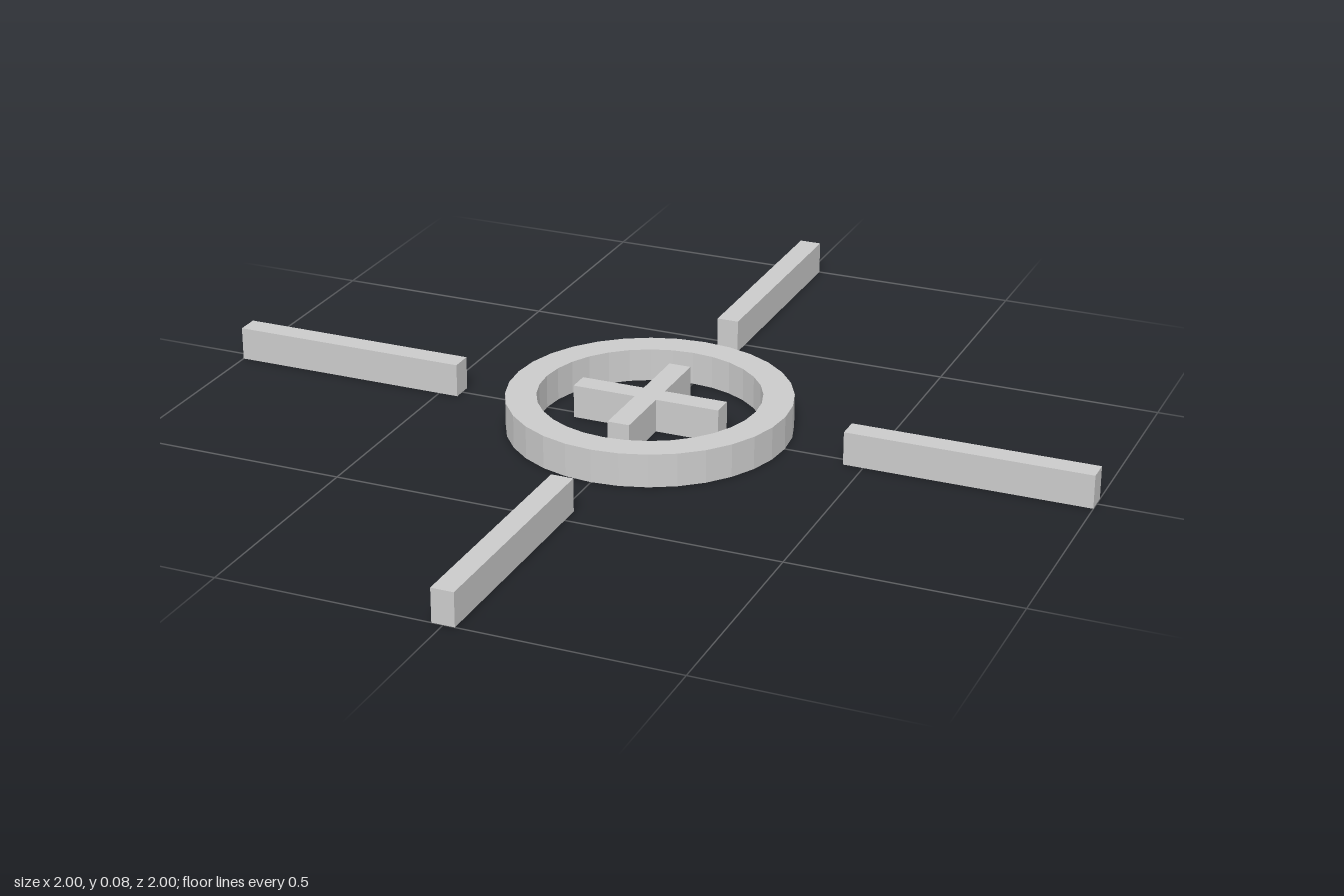
import * as THREE from 'three';

const HEIGHT = 0.075;
const WIDTH = 0.05;

export function createModel() {
  const model = new THREE.Group();
  model.name = 'crosshair';
  const material = new THREE.MeshStandardMaterial({ color: 0xcccccc, flatShading: true });

  const add = (name, geometry) => {
    const mesh = new THREE.Mesh(geometry, material);
    mesh.name = name;
    model.add(mesh);
    return mesh;
  };

  // Extrude a flat outline upward from the ground
  const slab = (shape) => new THREE.ExtrudeGeometry(shape, {
    depth: HEIGHT, bevelEnabled: false, curveSegments: 16,
  }).rotateX(-Math.PI / 2);

  // Ring with 32 sides
  const ring = new THREE.Shape().absarc(0, 0, 0.314, 0, Math.PI * 2, false);
  ring.holes.push(new THREE.Path().absarc(0, 0, 0.246, 0, Math.PI * 2, true));
  add('ring', slab(ring));

  // Plus sign in the middle, one outline
  const h = WIDTH / 2, r = 0.17;
  const plus = new THREE.Shape([
    [r, -h], [r, h], [h, h], [h, r], [-h, r], [-h, h],
    [-r, h], [-r, -h], [-h, -h], [-h, -r], [h, -r], [h, -h],
  ].map(([x, y]) => new THREE.Vector2(x, y)));
  add('centreCross', slab(plus));

  // Four bars pointing outward
  const inner = 0.455, length = 1 - inner;
  const bar = new THREE.BoxGeometry(length, HEIGHT, WIDTH)
    .translate(inner + length / 2, HEIGHT / 2, 0);
  ['leftBar', 'backBar', 'rightBar', 'frontBar'].forEach((name, i) => {
    add(name, bar).rotation.y = i * Math.PI / 2;
  });

  return model;
}
